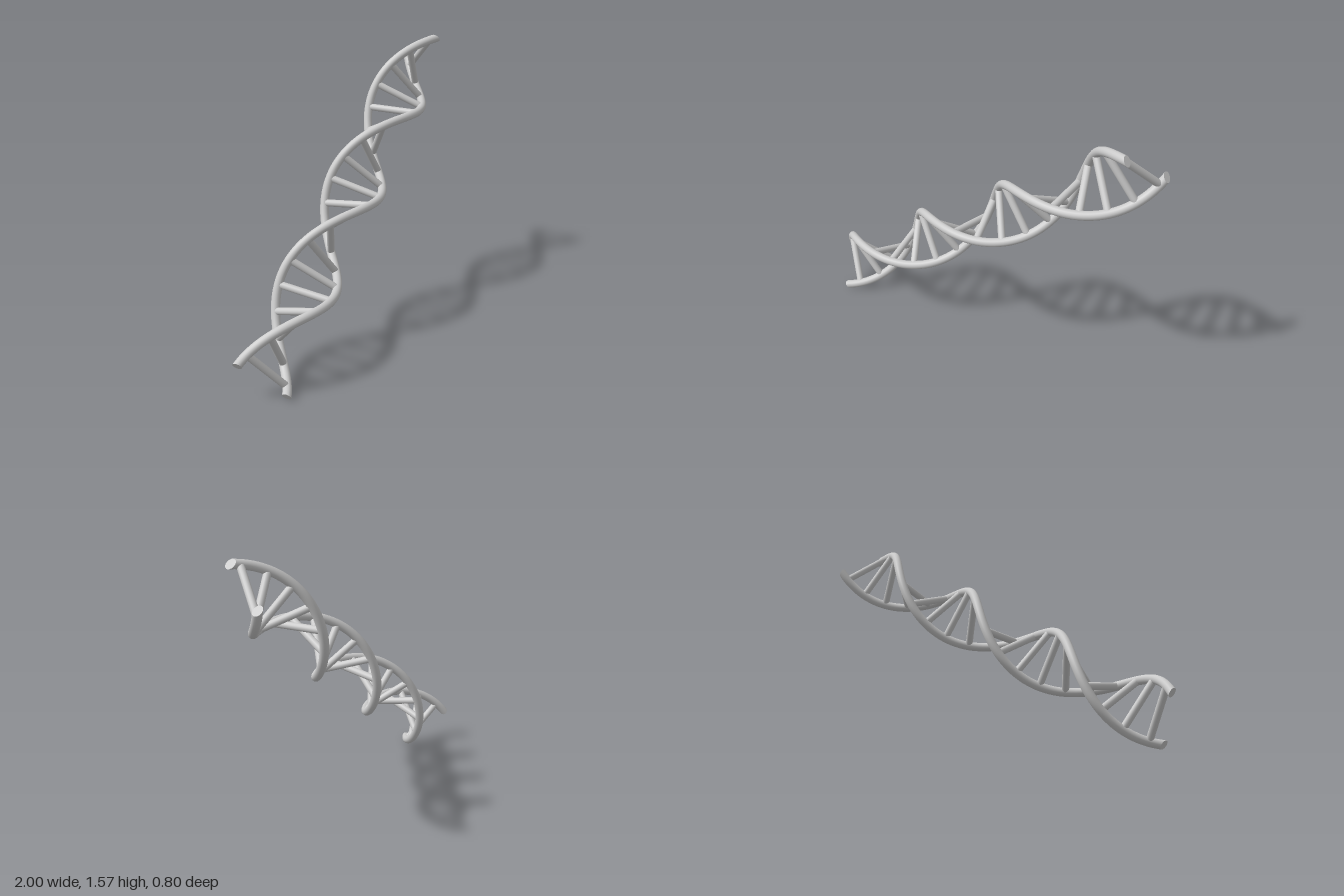
import * as THREE from 'three';

const START = new THREE.Vector3(-0.8825, 0.125, 0.2925); // axis ends
const END = new THREE.Vector3(0.965, 1.4725, -0.245);
const HELIX_R = 0.152, STRAND_R = 0.0245, RUNG_R = 0.02;
const ANGLE0 = THREE.MathUtils.degToRad(-33), ANGLE1 = THREE.MathUtils.degToRad(598);
const RUNGS = 20, SEGMENTS = 120, SIDES = 16;

const axis = END.clone().sub(START).normalize();
const u = new THREE.Vector3(-axis.y, axis.x, 0).normalize();
const v = axis.clone().cross(u);

// point on the helix at t in 0..1, starting from the given phase
function helixPoint(t, phase) {
  const a = THREE.MathUtils.lerp(ANGLE0, ANGLE1, t) + phase;
  return START.clone().lerp(END, t)
    .addScaledVector(u, HELIX_R * Math.cos(a))
    .addScaledVector(v, HELIX_R * Math.sin(a));
}

class Helix extends THREE.Curve {
  constructor(phase) { super(); this.phase = phase; }
  getPoint(t) { return helixPoint(t, this.phase); }
}

// helical tube whose ends are cut square to the helix axis
function makeStrand(phase, material, capMaterial, name) {
  const group = new THREE.Group();
  group.name = name;
  const curve = new Helix(phase);
  const tube = new THREE.TubeGeometry(curve, SEGMENTS, STRAND_R, SIDES, false);
  const pos = tube.attributes.position;
  for (const end of [0, 1]) {
    const centre = curve.getPoint(end), tangent = curve.getTangent(end);
    const rim = [];
    for (let j = 0; j <= SIDES; j++) {
      const k = end * SEGMENTS * (SIDES + 1) + j;
      const p = new THREE.Vector3().fromBufferAttribute(pos, k);
      const slide = p.clone().sub(centre).dot(axis) / tangent.dot(axis);
      p.addScaledVector(tangent, -slide);
      pos.setXYZ(k, p.x, p.y, p.z);
      rim.push(p);
    }
    // flat cap as a fan
    const fan = [];
    for (let j = 0; j < SIDES; j++) fan.push(centre, rim[j], rim[j + 1]);
    const capGeometry = new THREE.BufferGeometry().setFromPoints(fan);
    capGeometry.computeVertexNormals();
    const cap = new THREE.Mesh(capGeometry, capMaterial);
    cap.name = end ? 'upperCap' : 'lowerCap';
    group.add(cap);
  }
  const body = new THREE.Mesh(tube, material);
  body.name = 'strandTube';
  group.add(body);
  return group;
}

export function createModel() {
  const model = new THREE.Group();
  model.name = 'doubleHelix';
  const material = new THREE.MeshStandardMaterial({ color: 0xcccccc });
  const capMaterial = new THREE.MeshStandardMaterial({ color: 0xcccccc, side: THREE.DoubleSide });

  // two opposite strands
  model.add(makeStrand(0, material, capMaterial, 'strandA'));
  model.add(makeStrand(Math.PI, material, capMaterial, 'strandB'));

  // rungs joining the strands
  const rungGeometry = new THREE.CylinderGeometry(RUNG_R, RUNG_R, HELIX_R * 2, SIDES);
  const rungs = new THREE.Group();
  rungs.name = 'rungs';
  for (let i = 0; i < RUNGS; i++) {
    const t = THREE.MathUtils.lerp(0.026, 0.983, i / (RUNGS - 1));
    const a = helixPoint(t, 0), b = helixPoint(t, Math.PI);
    const rung = new THREE.Mesh(rungGeometry, material);
    rung.name = 'rung';
    rung.position.copy(a).add(b).multiplyScalar(0.5);
    rung.quaternion.setFromUnitVectors(new THREE.Vector3(0, 1, 0), a.sub(b).normalize());
    rungs.add(rung);
  }
  model.add(rungs);

  // stand on the ground, centred
  const box = new THREE.Box3().setFromObject(model, true);
  const c = box.getCenter(new THREE.Vector3());
  model.position.set(-c.x, -box.min.y, -c.z);
  return model;
}
